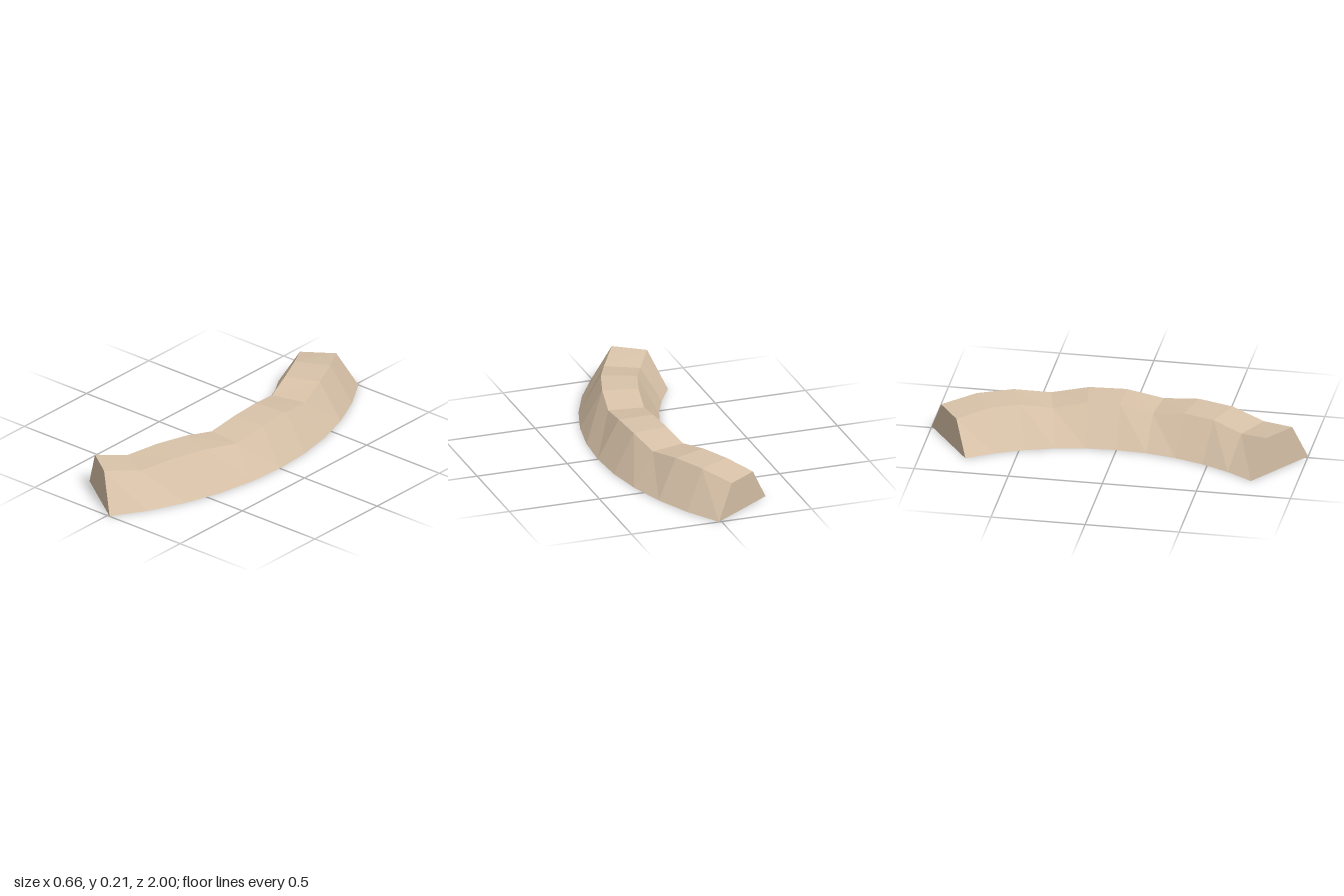
import * as THREE from 'three';

const SEGMENTS = 10;
const HALF_ANGLE = THREE.MathUtils.degToRad(35);
const CENTRE_X = -1.413;
const CREST = 0.21;
const DIP = 0.18;

// Trapezoid cross-section at step i: inner foot, inner rim, outer rim, outer foot
function section(i) {
  const angle = HALF_ANGLE * (1 - (2 * i) / SEGMENTS);
  const top = i % 3 === 1 ? DIP : CREST; // every third step sags
  const profile = [[1.322, 0], [1.4355, top], [1.627, top], [1.7434, 0]];
  return profile.map(([r, y]) =>
    new THREE.Vector3(CENTRE_X + r * Math.cos(angle), y, r * Math.sin(angle)));
}

// Flat-shaded geometry from a list of quads
function quadsToGeometry(quads) {
  const points = quads.flatMap(([a, b, c, d]) => [a, b, c, a, c, d]);
  const geometry = new THREE.BufferGeometry().setFromPoints(points);
  geometry.computeVertexNormals();
  return geometry;
}

export function createModel() {
  const group = new THREE.Group();
  group.name = 'curvedBarrier';

  const sand = new THREE.MeshStandardMaterial({
    color: 0xd9c3a9, flatShading: true, side: THREE.DoubleSide,
  });
  sand.name = 'sand';

  const sections = Array.from({ length: SEGMENTS + 1 }, (_, i) => section(i));

  const addPart = (name, quads) => {
    const mesh = new THREE.Mesh(quadsToGeometry(quads), sand);
    mesh.name = name;
    group.add(mesh);
  };

  // Long strips: sloping inner side, wavy top, sloping outer side (underside stays open)
  ['innerSlope', 'wavyTop', 'outerSlope'].forEach((name, j) => {
    const quads = [];
    for (let i = 0; i < SEGMENTS; i++) {
      const s = sections[i], t = sections[i + 1];
      quads.push([s[j], s[j + 1], t[j + 1], t[j]]);
    }
    addPart(name, quads);
  });

  // End walls
  const [a, b, c, d] = sections[0];
  addPart('frontEnd', [[a, d, c, b]]);
  addPart('backEnd', [sections[SEGMENTS]]);

  return group;
}
